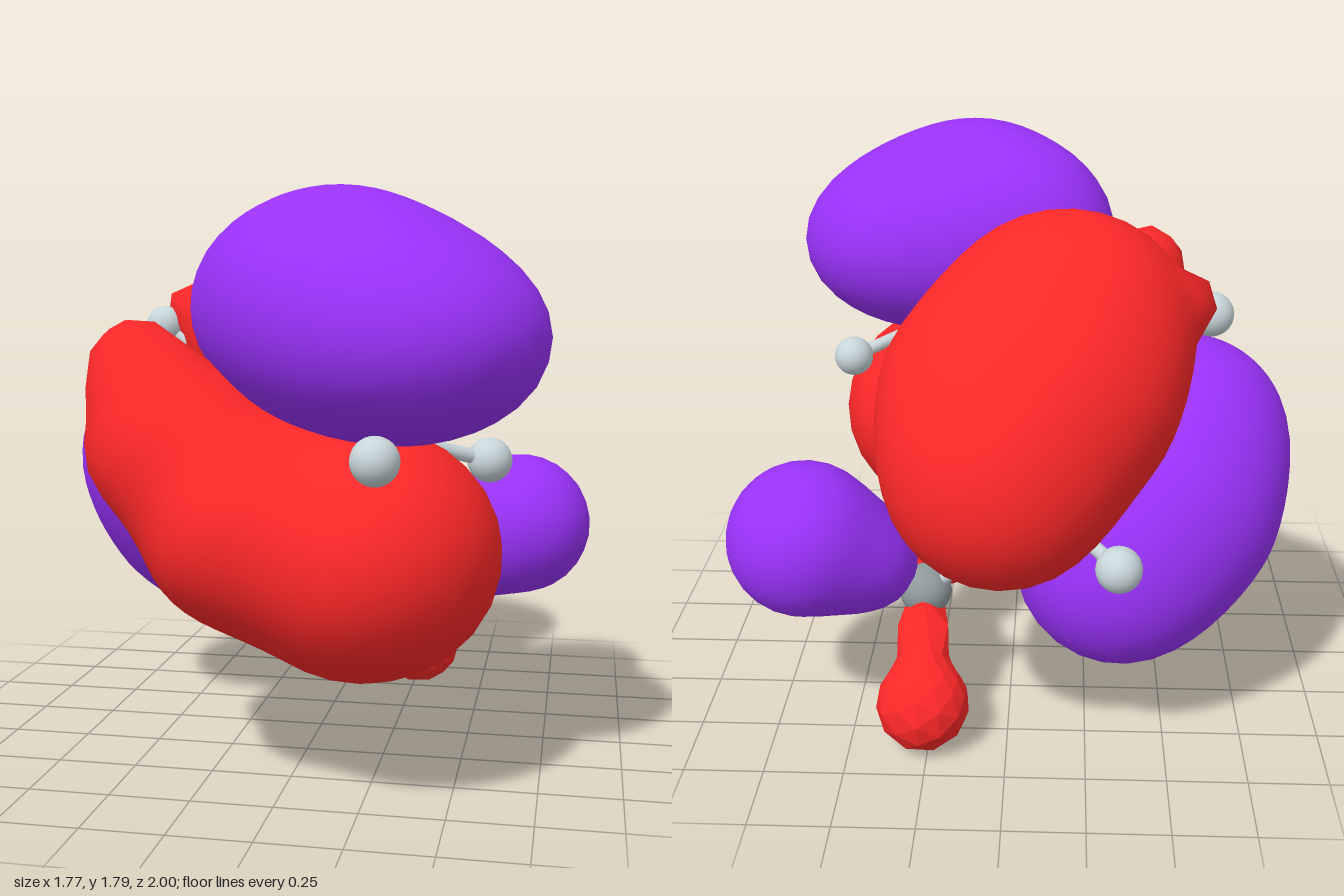
import * as THREE from 'three';
import { mergeVertices } from 'three/addons/utils/BufferGeometryUtils.js';

const RED = new THREE.MeshStandardMaterial({ color: 0xff2828 });
const PURPLE = new THREE.MeshStandardMaterial({ color: 0x9a32fa });
const CARBON = new THREE.MeshStandardMaterial({ color: 0x909a9c });
const HYDROGEN = new THREE.MeshStandardMaterial({ color: 0xc8d6da });
const RED_FACETED = new THREE.MeshStandardMaterial({ color: 0xff2828, flatShading: true });
const V = (a) => new THREE.Vector3(...a);

// Signed distance to a soft union of ellipsoids, each [x, y, z, rx, ry, rz]
function field(p, balls, soft) {
  let d = 1e3;
  for (const [x, y, z, rx, ry = rx, rz = rx] of balls) {
    const q = Math.hypot((p.x - x) / rx, (p.y - y) / ry, (p.z - z) / rz);
    const e = (q - 1) * Math.min(rx, ry, rz);
    const h = Math.max(soft - Math.abs(d - e), 0) / soft;
    d = Math.min(d, e) - h * h * soft * 0.25;
  }
  return d;
}

// Lobe: a sphere whose vertices are pushed along rays onto the soft union
function lobe(name, material, center, balls, detail = 8, soft = 0.12) {
  let geo = new THREE.IcosahedronGeometry(1, detail);
  geo.deleteAttribute('normal');
  geo.deleteAttribute('uv');
  geo = mergeVertices(geo, 1e-4);
  const pos = geo.attributes.position, c = V(center);
  const dir = new THREE.Vector3(), p = new THREE.Vector3();
  for (let i = 0; i < pos.count; i++) {
    dir.fromBufferAttribute(pos, i).normalize();
    const at = (t) => field(p.copy(c).addScaledVector(dir, t), balls, soft);
    let hi = 1.2;
    while (hi > 0.02 && at(hi) > 0) hi -= 0.01;
    let lo = hi;
    hi += 0.01;
    for (let k = 0; k < 10; k++) {
      const mid = (lo + hi) / 2;
      if (at(mid) > 0) hi = mid; else lo = mid;
    }
    p.copy(c).addScaledVector(dir, lo);
    pos.setXYZ(i, p.x, p.y, p.z);
  }
  geo.computeVertexNormals();
  const mesh = new THREE.Mesh(geo, material);
  mesh.name = name;
  return mesh;
}

function atom(name, material, position, radius) {
  const mesh = new THREE.Mesh(new THREE.SphereGeometry(radius, 24, 16), material);
  mesh.position.copy(V(position));
  mesh.name = name;
  return mesh;
}

function stick(a, b, material) {
  const dir = b.clone().sub(a);
  const mesh = new THREE.Mesh(new THREE.CylinderGeometry(0.022, 0.022, dir.length(), 12), material);
  mesh.position.copy(a).add(b).multiplyScalar(0.5);
  mesh.quaternion.setFromUnitVectors(new THREE.Vector3(0, 1, 0), dir.normalize());
  mesh.name = 'bond';
  return mesh;
}

export function createModel() {
  const model = new THREE.Group();
  model.name = 'molecularOrbital';

  // Ball and stick skeleton: a bent chain of five carbons
  const skeleton = new THREE.Group();
  skeleton.name = 'skeleton';
  const carbons = [
    [0.24, 1.08, 0.55], [-0.18, 1.19, 0.32], [-0.3, 1.14, -0.16],
    [-0.14, 0.78, -0.45], [0.27, 0.44, -0.36],
  ];
  // Hydrogens as [carbon index, position]
  const hydrogens = [
    [0, [0.32, 1.05, 0.93]], [0, [0.58, 0.98, 0.34]], [1, [-0.43, 1.27, 0.56]],
    [2, [-0.61, 1.35, -0.25]], [3, [-0.33, 0.77, -0.8]],
    [4, [0.6, 0.62, -0.42]], [4, [0.27, 0.35, 0.0]], [4, [0.27, 0.14, -0.57]],
  ];
  carbons.forEach((c, i) => {
    skeleton.add(atom('carbon', CARBON, c, 0.085));
    if (i) skeleton.add(stick(V(carbons[i - 1]), V(c), HYDROGEN));
  });
  for (const [i, h] of hydrogens) {
    skeleton.add(atom('hydrogen', HYDROGEN, h, 0.068));
    skeleton.add(stick(V(carbons[i]), V(h), HYDROGEN));
  }
  model.add(skeleton);

  // Large lobes on either side of the two double bonds
  model.add(lobe('frontUpperLobe', PURPLE, [0.18, 1.43, 0.5], [
    [0.38, 1.355, 0.58, 0.385, 0.295, 0.415],
    [-0.05, 1.43, 0.34, 0.27, 0.26, 0.23],
    [0.15, 1.445, 0.5, 0.37, 0.335, 0.38],
  ], 8, 0.2));
  model.add(lobe('frontLowerLobe', RED, [-0.05, 0.83, 0.54], [
    [0.23, 0.72, 0.53, 0.405, 0.375, 0.45],
    [-0.1, 0.81, 0.53, 0.34, 0.335, 0.41],
    [-0.33, 1.03, 0.56, 0.275, 0.26, 0.265],
    [-0.45, 1.26, 0.56, 0.145],
  ]));
  model.add(lobe('backUpperLobe', RED, [-0.07, 1.18, -0.49], [
    [-0.17, 1.33, -0.34, 0.385, 0.355, 0.355],
    [0.01, 1.01, -0.66, 0.345],
    [-0.065, 1.18, -0.51, 0.44, 0.38, 0.4],
    [-0.57, 1.41, -0.29, 0.05],
  ]));
  model.add(lobe('backLowerLobe', PURPLE, [-0.45, 0.76, -0.28], [
    [-0.55, 0.91, -0.17, 0.332],
    [-0.35, 0.59, -0.4, 0.33],
    [-0.47, 0.745, -0.3, 0.385],
  ]));

  // Small lobes around the end carbon
  model.add(lobe('endSideLobe', PURPLE, [0.57, 0.62, -0.41], [
    [0.64, 0.65, -0.42, 0.246],
    [0.45, 0.55, -0.37, 0.16],
  ], 5));
  model.add(lobe('endBottomLobe', RED_FACETED, [0.27, 0.2, -0.53], [
    [0.265, 0.15, -0.58, 0.148],
    [0.27, 0.28, -0.48, 0.075],
    [0.27, 0.38, -0.41, 0.11, 0.08, 0.08],
  ], 2, 0.06));
  model.add(lobe('endFrontLobe', RED_FACETED, [0.26, 0.4, 0.09], [
    [0.27, 0.37, 0.05, 0.14],
    [0.23, 0.46, 0.19, 0.13],
  ], 1));

  return model;
}
